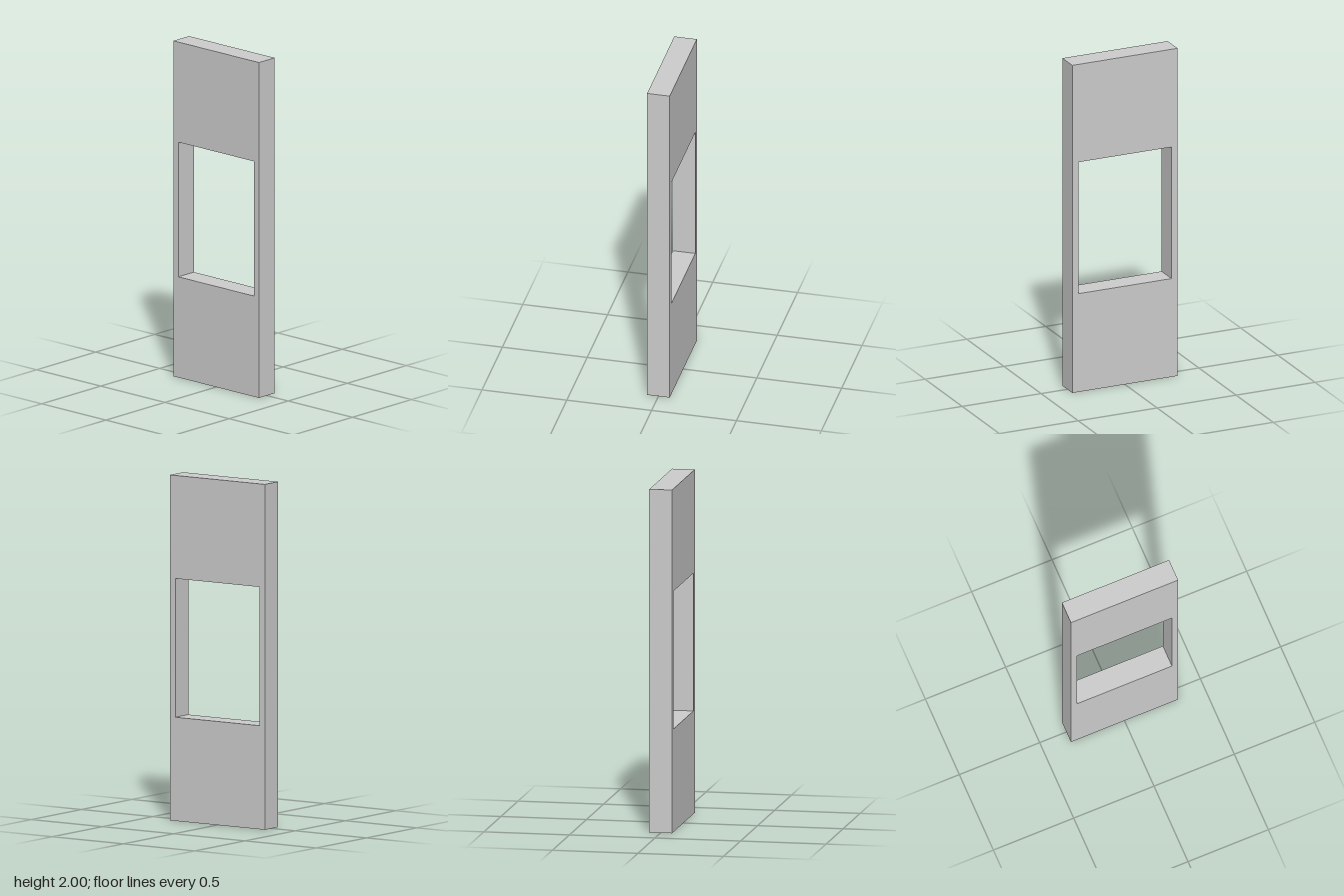
import * as THREE from 'three';

const WIDTH = 0.667, HEIGHT = 2, DEPTH = 0.133;
const OPENING = { halfWidth: 0.295, bottom: 0.6, top: 1.403 };

// Closed rectangular outline
function rectangle(PathType, halfWidth, bottom, top) {
  const path = new PathType();
  path.moveTo(-halfWidth, bottom);
  path.lineTo(halfWidth, bottom);
  path.lineTo(halfWidth, top);
  path.lineTo(-halfWidth, top);
  path.closePath();
  return path;
}

export function createModel() {
  const group = new THREE.Group();
  group.name = 'wallPanelWithOpening';

  // Upright slab with a rectangular window cut through it
  const outline = rectangle(THREE.Shape, WIDTH / 2, 0, HEIGHT);
  outline.holes.push(rectangle(THREE.Path, OPENING.halfWidth, OPENING.bottom, OPENING.top));

  const geometry = new THREE.ExtrudeGeometry(outline, { depth: DEPTH, bevelEnabled: false });
  geometry.translate(0, 0, -DEPTH / 2);

  const panel = new THREE.Mesh(geometry, new THREE.MeshStandardMaterial({ color: 0xcccccc }));
  panel.name = 'wallPanel';
  group.add(panel);

  return group;
}
